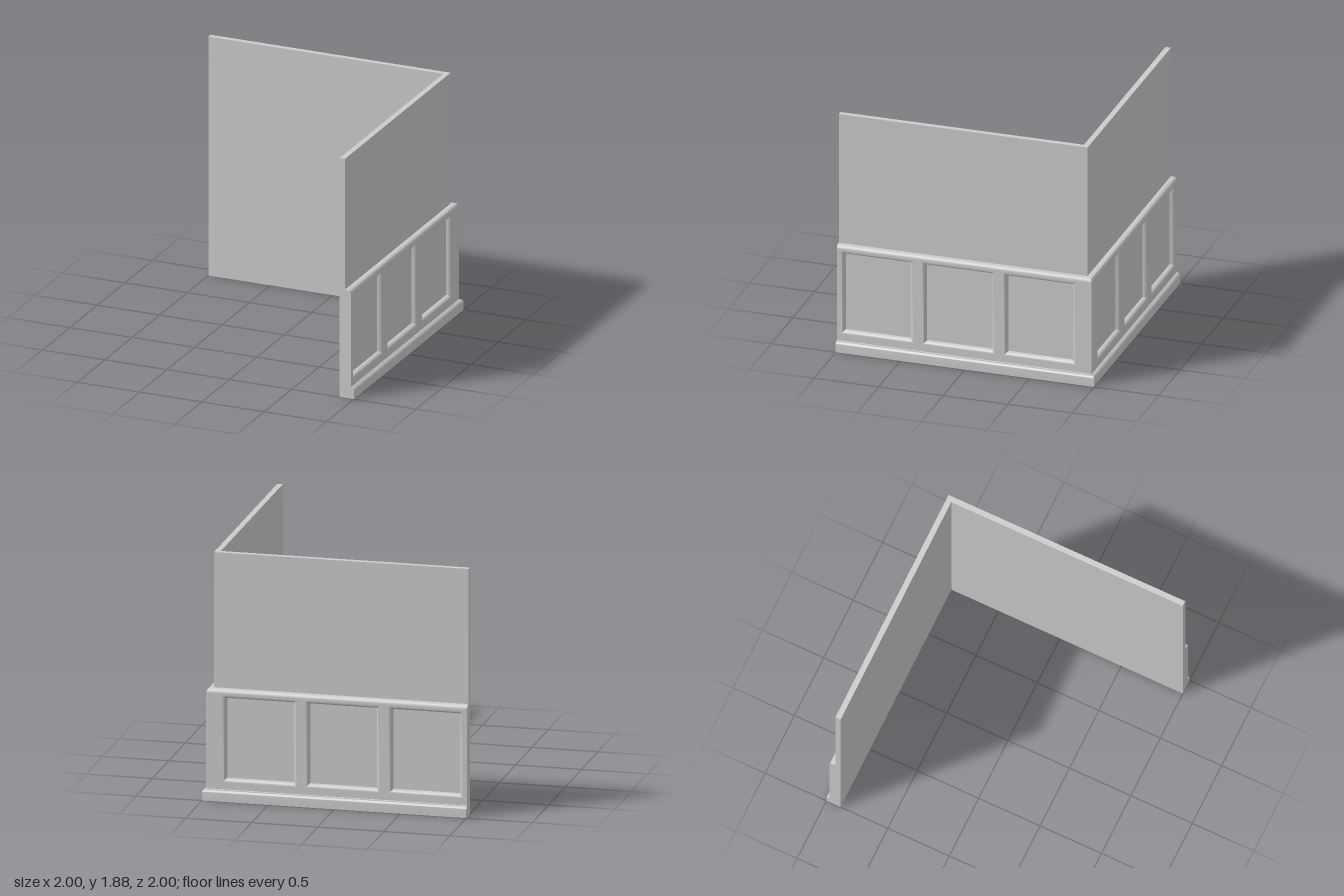
import * as THREE from 'three';
import { toCreasedNormals } from 'three/addons/utils/BufferGeometryUtils.js';

const material = new THREE.MeshStandardMaterial({ color: 0xcccccc });
const INNER = 0.885, WALL = 0.927, FACE = 0.975, PANEL = 0.937;
const BASE_TOP = 0.09, RAIL_LOW = 0.82, RAIL_TOP = 0.85;

function add(parent, name, geometry) {
  const mesh = new THREE.Mesh(geometry, material);
  mesh.name = name;
  parent.add(mesh);
  return mesh;
}

function quadsGeometry(quads) {
  const pos = [];
  for (const [a, b, c, d] of quads) pos.push(...a, ...b, ...c, ...a, ...c, ...d);
  const g = new THREE.BufferGeometry();
  g.setAttribute('position', new THREE.Float32BufferAttribute(pos, 3));
  return toCreasedNormals(g, 0.6);
}

// Sweeps a closed [distance, height] profile around the mitred corner, with end caps
function cornerSweep(name, profile) {
  const group = new THREE.Group();
  group.name = name;
  const path = [(d, y) => [d, y, 1], (d, y) => [d, y, -d], (d, y) => [-1, y, -d]];
  const quads = [];
  for (let s = 0; s < 2; s++) {
    profile.forEach((p, i) => {
      const q = profile[(i + 1) % profile.length];
      quads.push([path[s](...p), path[s + 1](...p), path[s + 1](...q), path[s](...q)]);
    });
  }
  add(group, name + 'Run', quadsGeometry(quads));
  const cap = (sign) => new THREE.ShapeGeometry(
    new THREE.Shape(profile.map(([d, y]) => new THREE.Vector2(sign * d, y))));
  add(group, name + 'FrontEnd', cap(1).translate(0, 0, 1));
  add(group, name + 'SideEnd', cap(-1).rotateY(-Math.PI / 2).translate(-1, 0, 0));
  return group;
}

// Quarter-round arc of profile points, from the vertical face to the top
function arc(d, y, rd, ry, n = 6) {
  return Array.from({ length: n + 1 }, (_, i) => {
    const t = (i / n) * Math.PI / 2;
    return [d + rd * Math.cos(t), y + ry * Math.sin(t)];
  });
}

// Panelled face of one wall; local x runs along it and +z points outwards
function wainscot(name, flip) {
  const group = new THREE.Group();
  group.name = name;
  const halfW = 0.254, halfH = 0.305, midY = 0.475, round = 0.026, steps = 6;
  const corners = [[-1, -1], [1, -1], [1, 1], [-1, 1]];
  const rect = (cx, out) => corners.map(([sx, sy]) =>
    new THREE.Vector2(cx + sx * (halfW + out), midY + sy * (halfH + out)));

  const x0 = Math.min(-flip, flip * FACE), x1 = Math.max(-flip, flip * FACE);
  const field = new THREE.Shape([[x0, BASE_TOP], [x1, BASE_TOP], [x1, RAIL_LOW], [x0, RAIL_LOW]]
    .map((p) => new THREE.Vector2(...p)));

  for (const c of [-0.687, -0.058, 0.57]) {
    const cx = flip * c;
    field.holes.push(new THREE.Path(rect(cx, round)));

    // rounded moulding falling from the frame to the recessed panel
    const loops = Array.from({ length: steps + 1 }, (_, i) => {
      const t = (i / steps) * Math.PI / 2;
      const z = PANEL + (FACE - PANEL) * Math.cos(t);
      return rect(cx, round * (1 - Math.sin(t))).map((p) => [p.x, p.y, z]);
    });
    const quads = [];
    for (let s = 0; s < steps; s++) {
      for (let k = 0; k < 4; k++) {
        const n = (k + 1) % 4;
        quads.push([loops[s][k], loops[s][n], loops[s + 1][n], loops[s + 1][k]]);
      }
    }
    add(group, 'panelMoulding', quadsGeometry(quads));
    add(group, 'recessedPanel', new THREE.PlaneGeometry(2 * halfW, 2 * halfH))
      .position.set(cx, midY, PANEL);
  }
  add(group, 'panelFrame', new THREE.ShapeGeometry(field)).position.z = FACE;

  // free end of the frame
  const end = add(group, 'frameEnd', new THREE.PlaneGeometry(FACE - WALL, RAIL_LOW - BASE_TOP));
  end.rotation.y = -flip * Math.PI / 2;
  end.position.set(-flip, (RAIL_LOW + BASE_TOP) / 2, (FACE + WALL) / 2);
  return group;
}

export function createModel() {
  const model = new THREE.Group();
  model.name = 'panelledCornerWall';

  model.add(cornerSweep('wall', [[INNER, 0], [WALL, 0], [WALL, 1.88], [INNER, 1.88]]));
  model.add(cornerSweep('topRail',
    [[WALL, RAIL_LOW], [FACE, RAIL_LOW], ...arc(FACE - 0.03, RAIL_LOW, 0.03, RAIL_TOP - RAIL_LOW).slice(1), [WALL, RAIL_TOP]]));
  model.add(cornerSweep('baseboard',
    [[WALL, 0], [1, 0], ...arc(0.982, 0.066, 0.018, 0.016), [0.982, 0.086], [FACE, BASE_TOP], [WALL, BASE_TOP]]));

  const right = wainscot('sideWainscot', 1);
  right.rotation.y = Math.PI / 2;
  const back = wainscot('backWainscot', -1);
  back.rotation.y = Math.PI;
  model.add(right, back);
  return model;
}
